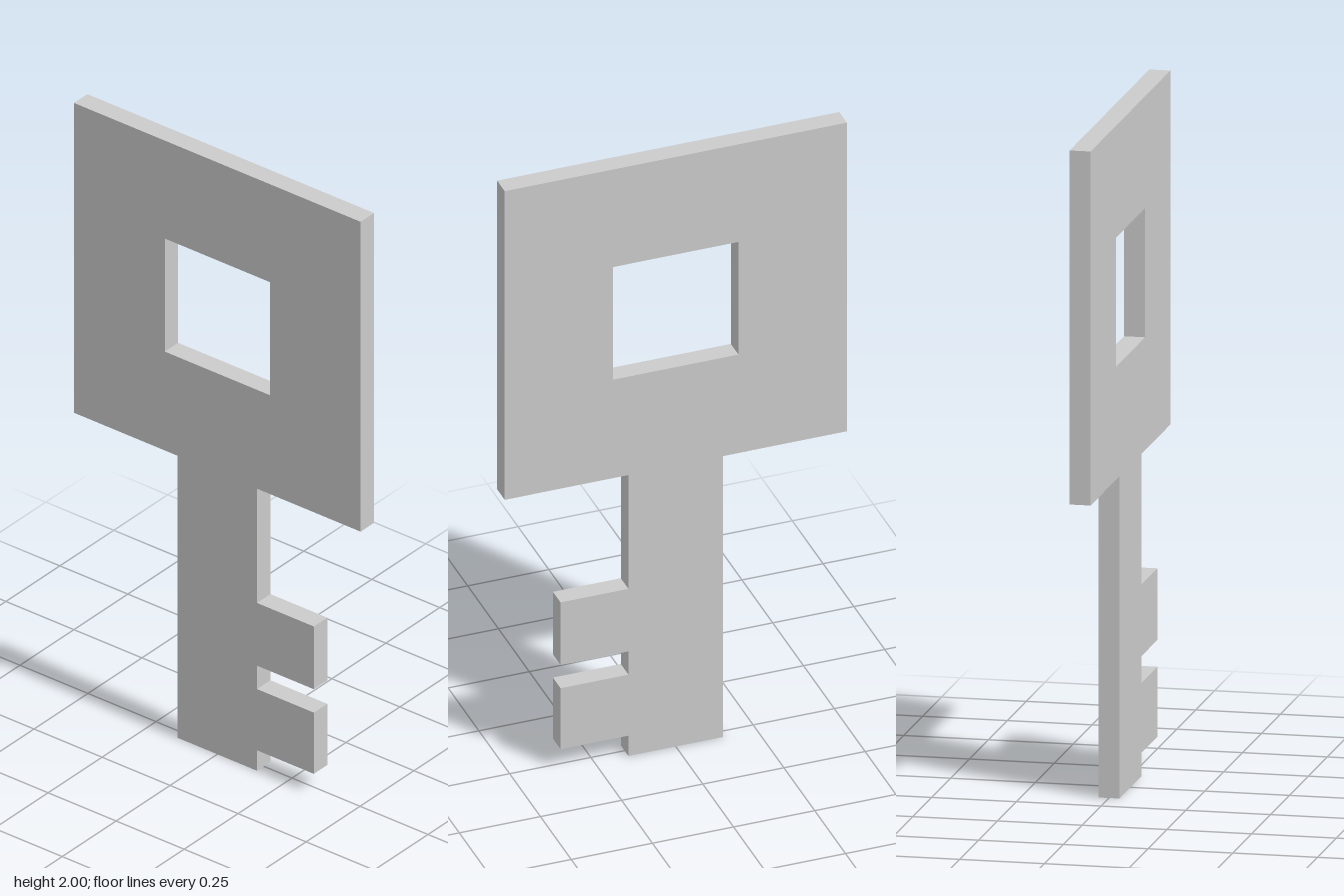
import * as THREE from 'three';

const THICKNESS = 0.062;

export function createModel() {
  const group = new THREE.Group();
  group.name = 'key';
  const material = new THREE.MeshStandardMaterial({ color: 0xcccccc, flatShading: true });

  const bow = { half: 0.527, bottom: 0.953, top: 2 };
  const shaft = 0.146; // half width
  const toothTip = 0.355;
  const teeth = [[0.069, 0.276], [0.355, 0.567]]; // bottom and top of each tooth

  // Outline, counter-clockwise from the bottom of the shaft
  const outline = [[-shaft, 0], [shaft, 0]];
  for (const [low, high] of teeth) {
    outline.push([shaft, low], [toothTip, low], [toothTip, high], [shaft, high]);
  }
  outline.push(
    [shaft, bow.bottom], [bow.half, bow.bottom], [bow.half, bow.top],
    [-bow.half, bow.top], [-bow.half, bow.bottom], [-shaft, bow.bottom]
  );
  const toPoints = (list) => list.map(([x, y]) => new THREE.Vector2(x, y));
  const shape = new THREE.Shape(toPoints(outline));

  // Square hole through the bow
  const hole = [[-0.193, 1.287], [-0.193, 1.669], [0.193, 1.669], [0.193, 1.287]];
  shape.holes.push(new THREE.Path(toPoints(hole)));

  // Flat plate: bow, shaft and teeth in one piece
  const geometry = new THREE.ExtrudeGeometry(shape, { depth: THICKNESS, bevelEnabled: false });
  geometry.translate(0, 0, -THICKNESS / 2);
  const plate = new THREE.Mesh(geometry, material);
  plate.name = 'keyPlate';
  group.add(plate);

  return group;
}
